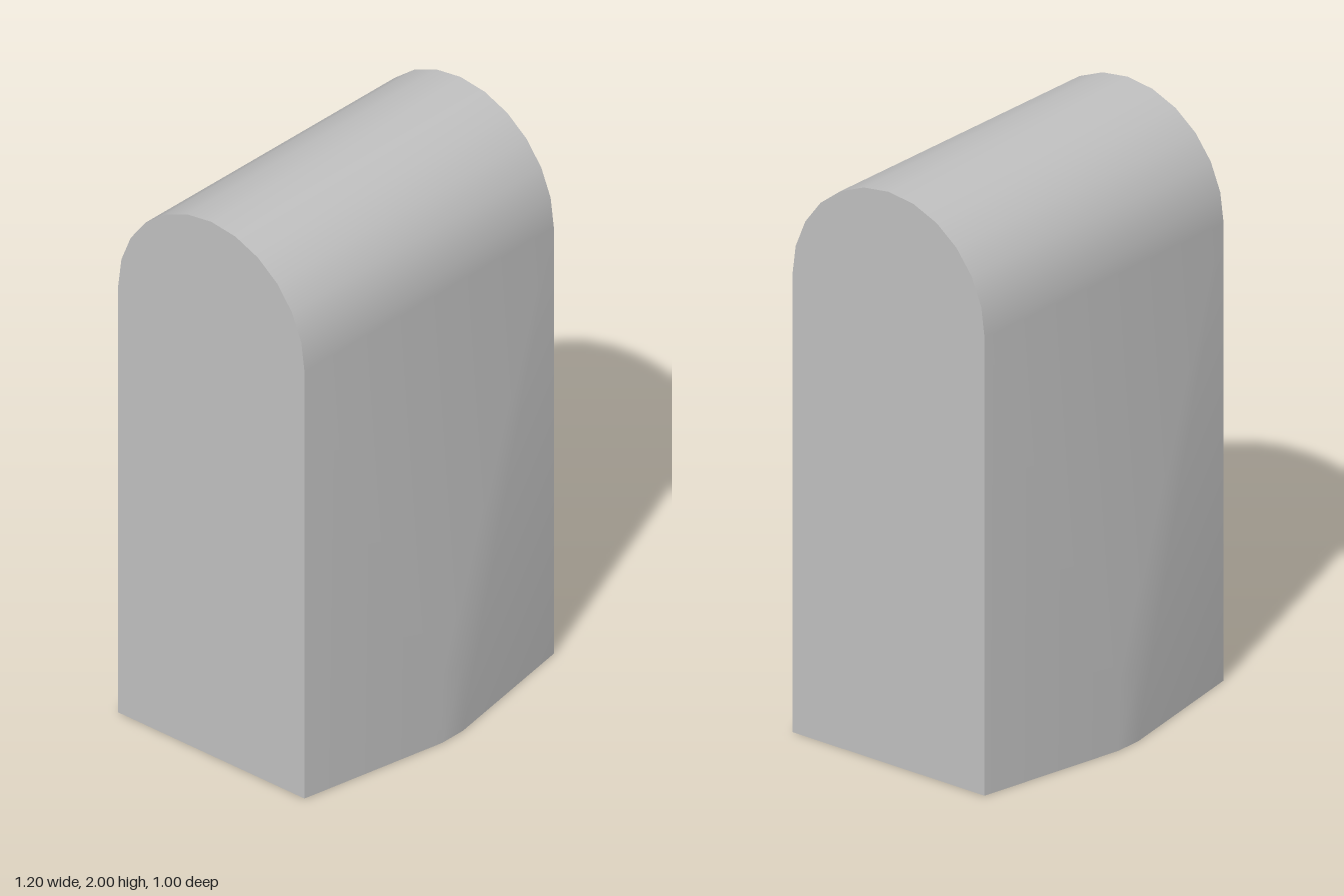
import * as THREE from 'three';
import { toCreasedNormals } from 'three/addons/utils/BufferGeometryUtils.js';

const W = 0.6;       // half width
const R = 0.4;       // half depth and roof radius
const SPRING = 1.6;  // height where the round top begins
const K = 0.05;      // half width of the keel
const KEEL_Y = 0.25; // top of the keel
const KEEL_Z = 0.5;  // depth of the keel
const SEG = 12;

export function createModel() {
  const positions = [];
  // Adds a flat convex face, corners counter-clockwise from outside
  const face = (pts) => {
    for (let i = 1; i < pts.length - 1; i++) positions.push(...pts[0], ...pts[i], ...pts[i + 1]);
  };

  // Half-round top
  const arc = [];
  for (let i = 0; i <= SEG; i++) {
    const t = (Math.PI * i) / SEG;
    arc.push([SPRING + R * Math.sin(t), R * Math.cos(t)]);
  }
  for (let i = 0; i < SEG; i++) {
    const a = arc[i], b = arc[i + 1];
    face([[-W, ...a], [W, ...a], [W, ...b], [-W, ...b]]);
  }

  // Flat arched ends
  const outline = [[0, R], [0, -R], ...arc.slice().reverse()];
  face(outline.map((p) => [W, ...p]));
  face(outline.slice().reverse().map((p) => [-W, ...p]));

  // Faceted front and back, each folding out to a short keel at the foot
  for (const s of [1, -1]) {
    const turned = (pts) => face(pts.map(([x, y, z]) => [x * s, y, z * s]));
    turned([[-K, 0, KEEL_Z], [K, 0, KEEL_Z], [K, KEEL_Y, KEEL_Z], [-K, KEEL_Y, KEEL_Z]]);
    turned([[-K, KEEL_Y, KEEL_Z], [K, KEEL_Y, KEEL_Z], [W, SPRING, R], [-W, SPRING, R]]);
    turned([[K, 0, KEEL_Z], [W, 0, R], [W, SPRING, R], [K, KEEL_Y, KEEL_Z]]);
    turned([[-K, 0, KEEL_Z], [-K, KEEL_Y, KEEL_Z], [-W, SPRING, R], [-W, 0, R]]);
  }

  // Underside
  face([
    [-W, 0, -R], [-K, 0, -KEEL_Z], [K, 0, -KEEL_Z], [W, 0, -R],
    [W, 0, R], [K, 0, KEEL_Z], [-K, 0, KEEL_Z], [-W, 0, R],
  ]);

  const geometry = new THREE.BufferGeometry();
  geometry.setAttribute('position', new THREE.Float32BufferAttribute(positions, 3));

  const grey = new THREE.MeshStandardMaterial({ color: 0xc0c0c0 });
  grey.name = 'light grey';
  const body = new THREE.Mesh(toCreasedNormals(geometry, Math.PI / 6), grey);
  body.name = 'archedBody';

  const model = new THREE.Group();
  model.name = 'archedBlock';
  model.add(body);
  return model;
}
